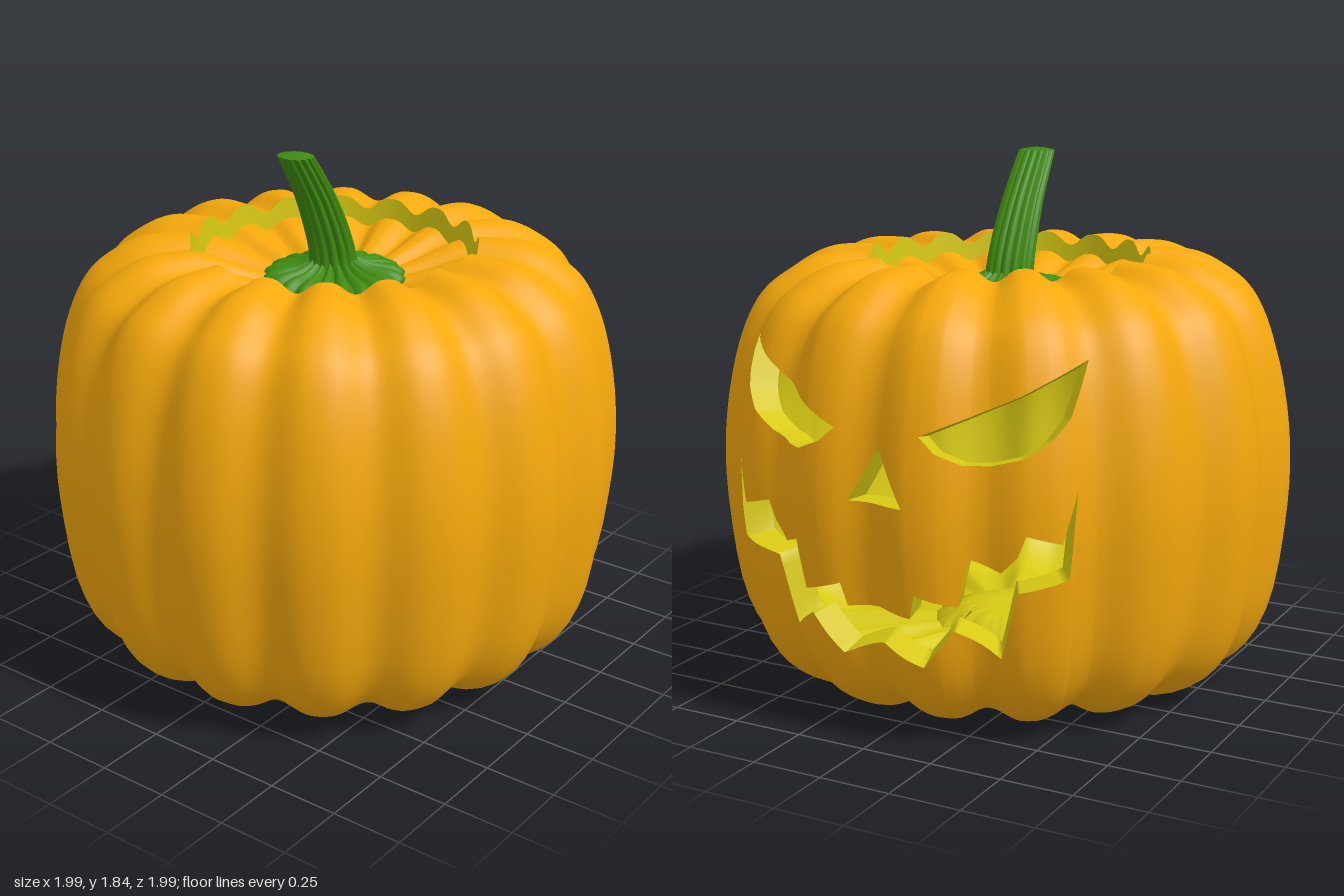
import * as THREE from 'three';
import { mergeGeometries, mergeVertices } from 'three/addons/utils/BufferGeometryUtils.js';

const RIBS = 16, WALL = 0.1, FACE = 2.5; // FACE: angle of the face's middle, in degrees from -z
const material = (color, side = THREE.FrontSide) => new THREE.MeshStandardMaterial({ color, side });
const orange = material(0xf5a80c);
const flesh = material(0xd6c814, THREE.DoubleSide);
const green = material(0x3f8a10, THREE.DoubleSide);

// Face cuts: [angle from the face's middle, height], mirrored on both sides
const mouthLow = [[0, 0.34], [9, 0.29], [15, 0.42], [24, 0.32], [27, 0.56], [36.5, 0.6], [38, 0.88]];
const mouthHigh = [[0, 0.47], [7, 0.46], [8, 0.54], [16, 0.5], [18, 0.66], [24, 0.62], [27, 0.68], [28.5, 0.75], [35, 0.72], [38, 0.88]];
const upperLow = [[0, 0.82], [6, 0.82], [9, 1.05], [12, 1.0], [17, 0.965], [22, 0.965], [28, 0.99], [33, 1.04], [37, 1.11], [42, 1.29]];
const upperHigh = [[0, 1.01], [6, 0.82], [9, 1.05], [20, 1.13], [28, 1.18], [42, 1.29]];

function lookUp(points, x) {
  for (let i = 1; i < points.length; i++) {
    const [x0, y0] = points[i - 1], [x1, y1] = points[i];
    if (x <= x1) return y0 + (y1 - y0) * (x - x0) / (x1 - x0);
  }
  return points[points.length - 1][1];
}

// Column angles: an even spread plus every corner of the cuts
const corners = [mouthLow, mouthHigh, upperLow, upperHigh].flat().map(p => p[0]);
const columns = [...new Set([
  ...Array.from({ length: 241 }, (_, i) => -180 + i * 1.5),
  ...corners.flatMap(b => [FACE + b, FACE - b]),
])].sort((a, b) => a - b);

// Grid of points f(angle, 0..1); keep(i) decides which columns are filled
function sheet(rows, f, keep = () => true) {
  const pos = [], index = [], n = rows + 1;
  columns.forEach((a, i) => {
    for (let j = 0; j <= rows; j++) pos.push(...f(a, j / rows));
    if (i === columns.length - 1 || !keep(i)) return;
    for (let j = 0; j < rows; j++) {
      const p = i * n + j;
      index.push(p, p + n, p + 1, p + n, p + n + 1, p + 1);
    }
  });
  const g = new THREE.BufferGeometry();
  g.setAttribute('position', new THREE.Float32BufferAttribute(pos, 3));
  g.setIndex(index);
  return g;
}

function addMesh(group, name, sheets, mat) {
  const g = mergeVertices(mergeGeometries(sheets), 1e-4);
  g.computeVertexNormals();
  const m = new THREE.Mesh(g, mat);
  m.name = name;
  group.add(m);
}

const place = (a, r, y) => {
  const t = THREE.MathUtils.degToRad(a);
  return [-r * Math.sin(t), y, -r * Math.cos(t)];
};
const groove = a => Math.pow(Math.abs(Math.cos(THREE.MathUtils.degToRad(a) * RIBS / 2)), 3);
const curve = pts => new THREE.SplineCurve(pts.map(p => new THREE.Vector2(...p)));

// Pumpkin profile from the underside's middle to the rim of the top opening
const profile = curve([[0, 0.1], [0.17, 0.1], [0.19, 0.055], [0.3, 0.035], [0.5, 0.01], [0.65, 0.008],
  [0.8, 0.07], [0.9, 0.17], [0.965, 0.34], [1, 0.6], [1.008, 0.8], [0.99, 1.0], [0.945, 1.2],
  [0.875, 1.35], [0.78, 1.435], [0.66, 1.492], [0.5, 1.505]]);

// Profile parameter at a given height on the side wall
function paramAt(y) {
  let lo = 0.32, hi = 0.95;
  for (let k = 0; k < 24; k++) {
    const mid = (lo + hi) / 2;
    if (profile.getPoint(mid).y < y) lo = mid; else hi = mid;
  }
  return lo;
}

// Point on the ribbed wall, a given depth under the skin
function wallPoint(a, t, depth) {
  const p = profile.getPoint(t), d = profile.getTangent(t);
  const inset = depth + 0.045 * groove(a) * THREE.MathUtils.smoothstep(p.x, 0.1, 0.5);
  return place(a, Math.max(0, p.x - d.y * inset), p.y + d.x * inset);
}

function createBody(group) {
  const cuts = [mouthLow, mouthHigh, upperLow, upperHigh];
  const levels = new Map(columns.map(a =>
    [a, [0, ...cuts.map(c => paramAt(lookUp(c, Math.abs(a - FACE)))), 1]]));
  // Skin bands below the mouth, between the cuts and above the eyes
  const shell = depth => [[0, 26], [2, 10], [4, 24]].map(([k, rows]) =>
    sheet(rows, (a, v) => {
      const l = levels.get(a);
      return wallPoint(a, l[k] + (l[k + 1] - l[k]) * v, depth);
    }));
  addMesh(group, 'pumpkinSkin', shell(0), orange);
  addMesh(group, 'innerWall', shell(WALL), flesh);

  // Cut faces through the wall
  const open = k => i => [columns[i], columns[i + 1]].some(a => {
    const l = levels.get(a), m = k < 3 ? 1 : 3;
    return l[m + 1] - l[m] > 1e-4;
  });
  [['mouthLowerCut', 1], ['mouthUpperCut', 2], ['eyesAndNoseLowerCut', 3], ['eyesAndNoseUpperCut', 4]]
    .forEach(([name, k]) => addMesh(group, name,
      [sheet(2, (a, v) => wallPoint(a, levels.get(a)[k], v * WALL), open(k))], flesh));
  addMesh(group, 'topOpeningCut', [sheet(2, (a, v) => wallPoint(a, 1, v * WALL))], flesh);
}

function createLid(group) {
  const top = curve([[0.48, 1.435], [0.42, 1.42], [0.33, 1.39], [0.2, 1.355], [0, 1.345]]);
  const dip = (a, r) => 0.035 * groove(a) * THREE.MathUtils.smoothstep(r, 0.05, 0.4);
  addMesh(group, 'lid', [sheet(12, (a, v) => {
    const p = top.getPoint(v);
    return place(a, p.x, p.y - dip(a, p.x));
  })], orange);
  addMesh(group, 'lidUnderside', [sheet(6, (a, v) => v < 0.4
    ? place(a, 0.48 - 0.05 * v, 1.435 - dip(a, 0.48) - 0.25 * v)
    : place(a, 0.46 * (1 - v) / 0.6, 1.33 - 0.05 * v))], flesh);
}

function createStem(group) {
  const ridge = (a, n) => Math.abs(Math.sin(THREE.MathUtils.degToRad(a) * n / 2));
  // Scalloped collar
  const collar = curve([[0.24, 1.345], [0.245, 1.37], [0.2, 1.395], [0.13, 1.405], [0.08, 1.43]]);
  addMesh(group, 'stemCollar', [sheet(10, (a, v) => {
    const p = collar.getPoint(v), k = ridge(a, 20);
    return place(a, p.x * (0.93 + 0.08 * k), p.y - 0.018 * (1 - k));
  })], green);
  // Leaning, ridged stalk made of level cross-sections
  const axis = curve([[0.0, 1.36], [0.02, 1.48], [0.1, 1.66], [0.215, 1.835]]);
  const radius = [[0, 0.1], [0.2, 0.086], [0.5, 0.081], [1, 0.066]];
  const ring = (a, v, size) => {
    const c = axis.getPoint(v), r = lookUp(radius, v) * size * (0.87 + 0.13 * ridge(a, 14));
    const [x, , z] = place(a, r, 0);
    return [x, c.y, c.x + z * (1 - 0.15 * v)];
  };
  addMesh(group, 'stem', [sheet(16, (a, v) => ring(a, v, 1))], green);
  addMesh(group, 'stemTip', [sheet(3, (a, v) => {
    const [x, y, z] = ring(a, 1, 1 - v);
    return [x, y + 0.01 * Math.sin(v * Math.PI / 2), z];
  })], green);
}

export function createModel() {
  const group = new THREE.Group();
  group.name = 'carvedPumpkin';
  createBody(group);
  createLid(group);
  createStem(group);
  return group;
}
